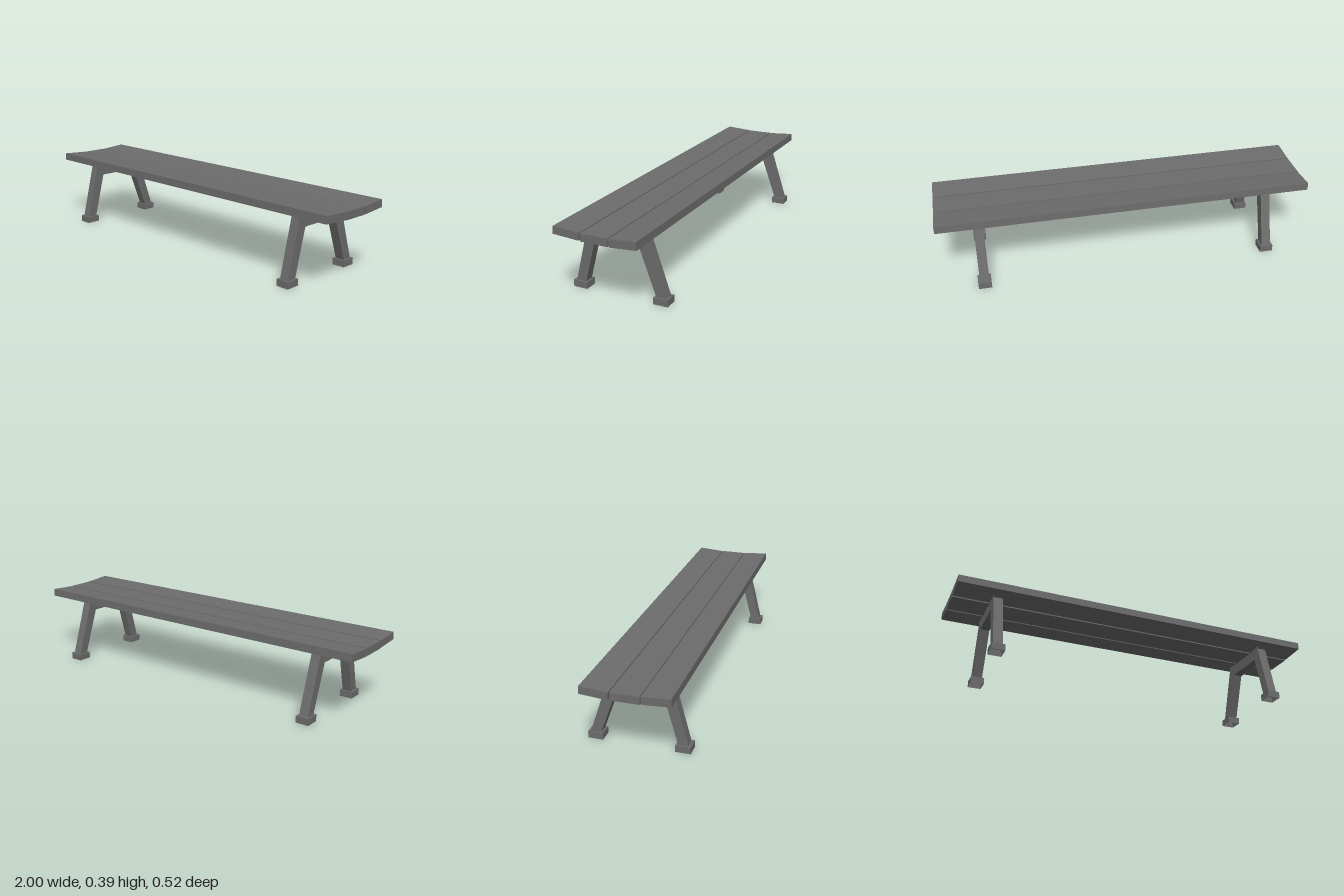
import * as THREE from 'three';

const paint = new THREE.MeshStandardMaterial({ color: 0x6c6c6c });
paint.name = 'grey';
const openPaint = paint.clone(); // same grey, for the hollow feet
openPaint.side = THREE.DoubleSide;

// Extrudes a side profile of [z, y] points along x, centred on x = 0
function sideProfile(points, width) {
  const shape = new THREE.Shape(points.map(([z, y]) => new THREE.Vector2(-z, y)));
  const geometry = new THREE.ExtrudeGeometry(shape, { depth: width, bevelEnabled: false });
  geometry.translate(0, 0, -width / 2);
  geometry.rotateY(Math.PI / 2);
  return geometry;
}

function addMesh(parent, name, geometry, material = paint) {
  const mesh = new THREE.Mesh(geometry, material);
  mesh.name = name;
  parent.add(mesh);
  return mesh;
}

// Box without its bottom face
function openFoot(width, height, depth) {
  const geometry = new THREE.BoxGeometry(width, height, depth);
  const index = Array.from(geometry.index.array);
  index.splice(18, 6);
  geometry.setIndex(index);
  geometry.clearGroups();
  return geometry;
}

export function createModel() {
  const bench = new THREE.Group();
  bench.name = 'bench';

  // Three seat planks, the outer two tilted up
  const planks = {
    frontPlank: [[0.23, 0.35], [0.09, 0.341], [0.087, 0.38], [0.228, 0.389]],
    middlePlank: [[0.082, 0.339], [-0.06, 0.338], [-0.06, 0.379], [0.082, 0.379]],
    backPlank: [[-0.069, 0.338], [-0.208, 0.348], [-0.206, 0.388], [-0.065, 0.378]],
  };
  for (const [name, points] of Object.entries(planks)) {
    addMesh(bench, name, sideProfile(points, 2));
  }

  // Splayed legs joined by a crossbeam, with a flared top under the planks
  const frameProfile = [
    [0.247, 0.034], [0.195, 0.034], [0.13, 0.279], [-0.105, 0.279],
    [-0.194, 0.034], [-0.246, 0.034], [-0.147, 0.333], [-0.167, 0.347],
    [-0.167, 0.357], [0.195, 0.357], [0.195, 0.348], [0.172, 0.333],
  ];
  for (const side of [-1, 1]) {
    const support = new THREE.Group();
    support.name = side > 0 ? 'leftSupport' : 'rightSupport';
    support.position.x = side * 0.78;
    bench.add(support);
    addMesh(support, 'legFrame', sideProfile(frameProfile, 0.05));

    // Hollow feet
    for (const [name, z] of [['frontFoot', 0.222], ['backFoot', -0.22]]) {
      addMesh(support, name, openFoot(0.07, 0.035, 0.076), openPaint).position.set(0, 0.0175, z);
    }
  }
  return bench;
}
